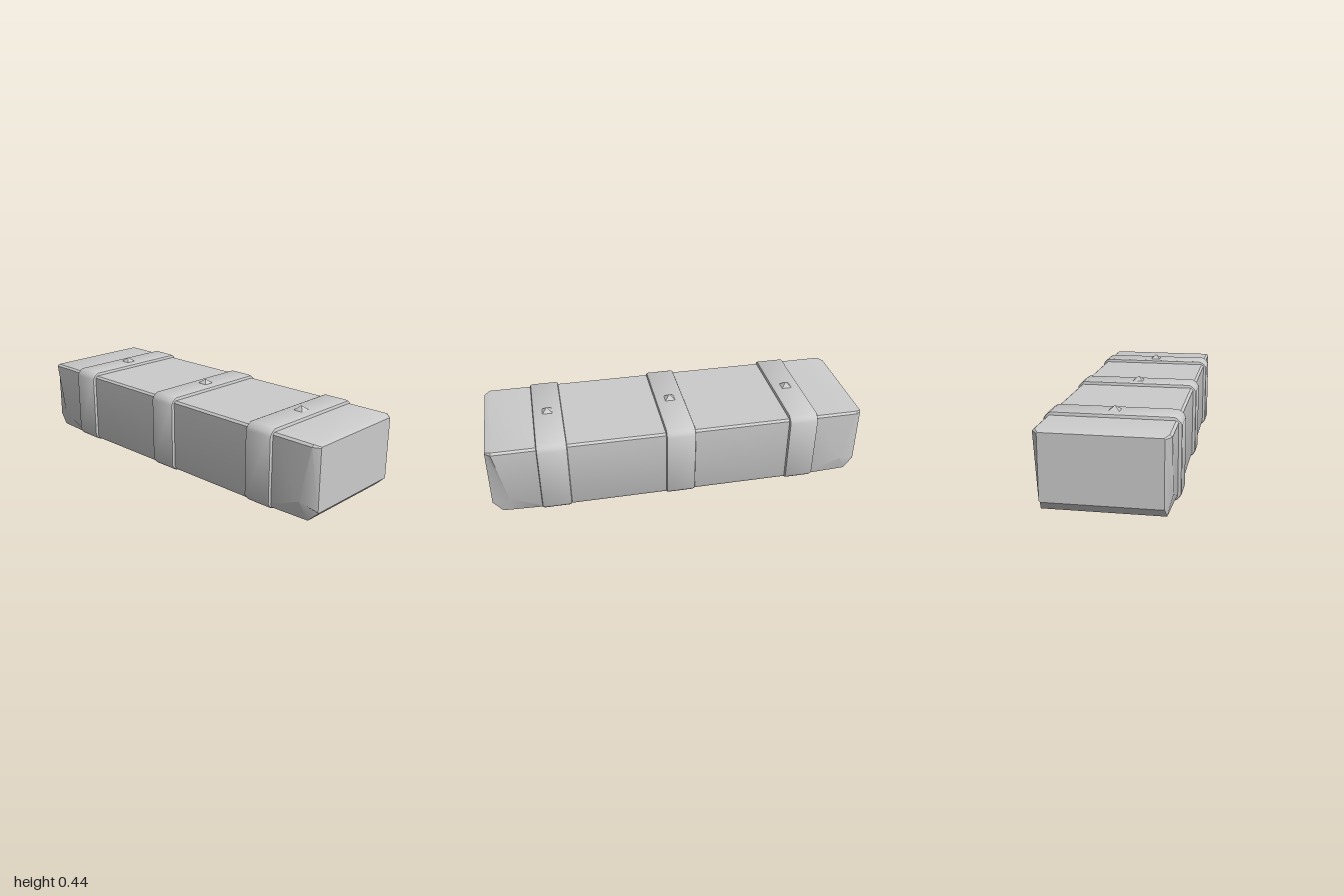
import * as THREE from 'three';
import { toCreasedNormals } from 'three/addons/utils/BufferGeometryUtils.js';

const grey = new THREE.MeshStandardMaterial({ color: 0xcccccc });
const greyFlat = new THREE.MeshStandardMaterial({ color: 0xcccccc, flatShading: true });

function addMesh(parent, name, geometry, material = grey) {
  const mesh = new THREE.Mesh(geometry, material);
  mesh.name = name;
  parent.add(mesh);
  return mesh;
}

// Long box with bevelled ends, skinned over eight-sided rings from front to back
function bodyGeometry() {
  // Right half of each ring, bottom to top: [x, y, z]
  const half = [
    [[0.278, 0.06, 1], [0.283, 0.065, 1], [0.283, 0.38, 1], [0.278, 0.385, 1]],
    [[0.29, 0.01, 0.95], [0.312, 0.1, 0.91], [0.312, 0.385, 0.97], [0.3, 0.395, 0.97]],
    [[0.3, 0.01, 0.74], [0.312, 0.03, 0.74], [0.312, 0.385, 0.74], [0.3, 0.395, 0.74]],
  ];
  const front = half.map(h => [...h, ...[...h].reverse().map(([x, y, z]) => [-x, y, z])]);
  const back = [...front].reverse().map(r => r.map(([x, y, z]) => [x, y, -z]));
  const rings = [...front, ...back];
  const n = 8, last = (rings.length - 1) * n, index = [];
  for (let i = 0; i < rings.length - 1; i++) {
    for (let j = 0; j < n; j++) {
      const a = i * n + j, b = i * n + (j + 1) % n;
      index.push(a, a + n, b, b, a + n, b + n);
    }
  }
  // End caps
  for (let j = 1; j < n - 1; j++) {
    index.push(0, j, j + 1, last, last + j + 1, last + j);
  }
  const geometry = new THREE.BufferGeometry();
  geometry.setAttribute('position', new THREE.Float32BufferAttribute(rings.flat(2), 3));
  geometry.setIndex(index);
  return toCreasedNormals(geometry, 0.6);
}

// Strap wrapped round the box: rounded outline with softened edges
function bandGeometry() {
  const bevel = 0.012, width = 0.157;
  const w = 0.33 - bevel, bottom = bevel, top = 0.413 - bevel, r = 0.028;
  const shape = new THREE.Shape();
  shape.moveTo(-w + r, bottom);
  shape.lineTo(w - r, bottom);
  shape.quadraticCurveTo(w - r * 0.3, bottom + r * 0.3, w, bottom + r);
  shape.lineTo(w, top - r);
  shape.quadraticCurveTo(w - r * 0.3, top - r * 0.3, w - r, top);
  shape.lineTo(-w + r, top);
  shape.quadraticCurveTo(-w + r * 0.3, top - r * 0.3, -w, top - r);
  shape.lineTo(-w, bottom + r);
  shape.quadraticCurveTo(-w + r * 0.3, bottom + r * 0.3, -w + r, bottom);
  const depth = width - 2 * bevel;
  const geometry = new THREE.ExtrudeGeometry(shape, {
    depth, curveSegments: 3, bevelEnabled: true,
    bevelSize: bevel, bevelThickness: bevel, bevelSegments: 2,
  });
  geometry.translate(0, 0, -depth / 2);
  return toCreasedNormals(geometry, 0.75);
}

export function createModel() {
  const model = new THREE.Group();
  model.name = 'strappedBox';
  addMesh(model, 'body', bodyGeometry());

  const band = bandGeometry();
  // Four-sided pyramid stud
  const stud = new THREE.ConeGeometry(0.031 * Math.SQRT2, 0.028, 4).rotateY(Math.PI / 4);

  for (const [name, z] of [['front', 0.667], ['middle', 0], ['back', -0.667]]) {
    const strap = new THREE.Group();
    strap.name = name + 'Strap';
    strap.position.z = z;
    addMesh(strap, name + 'Band', band);
    addMesh(strap, name + 'Stud', stud, greyFlat).position.y = 0.423;
    model.add(strap);
  }
  return model;
}
